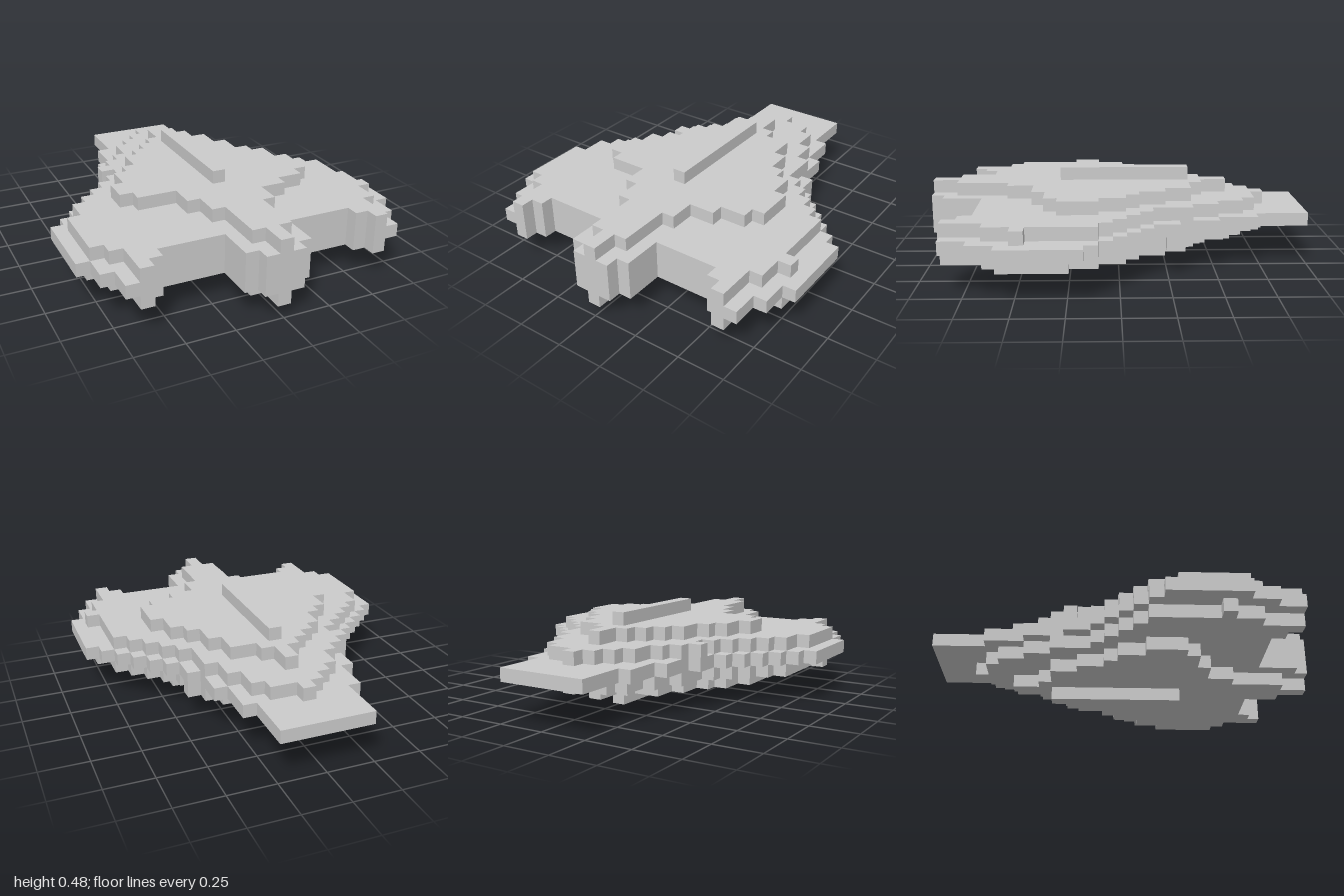
import * as THREE from 'three';

const V = 2 / 29; // edge of one block; the model is 25 x 7 x 29 blocks

const material = new THREE.MeshStandardMaterial({ color: 0xcccccc, flatShading: true });

// Expands [value, count] runs into one value per row.
const runs = (...list) => list.flatMap(([value, count]) => Array(count).fill(value));

// Solid slab, one block high: row i spans blocks -left[i]..right[i] in x.
function slab(name, level, startRow, left, right) {
  const z = (i) => -1 + (startRow + i) * V;
  const points = [];
  right.forEach((r, i) => {
    const x = (r + 0.5) * V;
    if (r !== right[i - 1]) points.push(new THREE.Vector2(x, -z(i)));
    if (r !== right[i + 1]) points.push(new THREE.Vector2(x, -z(i + 1)));
  });
  for (let i = left.length - 1; i >= 0; i--) {
    const x = -(left[i] + 0.5) * V;
    if (left[i] !== left[i + 1]) points.push(new THREE.Vector2(x, -z(i + 1)));
    if (left[i] !== left[i - 1]) points.push(new THREE.Vector2(x, -z(i)));
  }
  const geometry = new THREE.ExtrudeGeometry(new THREE.Shape(points), { depth: V, bevelEnabled: false });
  geometry.rotateX(-Math.PI / 2).translate(0, level * V, 0);
  const mesh = new THREE.Mesh(geometry, material);
  mesh.name = name;
  return mesh;
}

// Stepped wing tip on one side, from block "inner" to block "outer".
function wingTip(name, level, side, outer) {
  const inner = [8, 9]; // inner block of each of the two rows
  const near = inner.map((c) => -c);
  const far = [outer, outer];
  return side > 0 ? slab(name, level, 25, near, far) : slab(name, level, 25, far, near);
}

export function createModel() {
  const model = new THREE.Group();

  // Middle plate: the widest outline, with the square end at the back
  const plate = runs([3, 4], [4, 3], [5, 3], [6, 2], [7, 1], [8, 1], [9, 1], [10, 1], [11, 1], [12, 6], [11, 2]);
  model.add(slab('middlePlate', 3, 0, plate, plate));

  // Hull layers above and below the plate
  const hullLeft = runs([0, 1], [1, 1], [2, 1], [3, 2], [4, 1], [5, 1], [6, 1], [5, 1], [6, 1], [7, 1],
    [8, 1], [9, 1], [10, 2], [11, 5], [10, 1], [9, 1]);
  const hullRight = runs([0, 1], [2, 1], [3, 2], [4, 2], [5, 3], [6, 1], [7, 1],
    [8, 1], [9, 1], [10, 5], [11, 1], [10, 2], [9, 1]);

  // Raised deck, narrowing to a ridge over the nose
  const deckLeft = runs([0, 2], [1, 1], [2, 1], [3, 1], [4, 2], [5, 1], [6, 2], [7, 2], [6, 1], [3, 2],
    [2, 2], [1, 4], [0, 2]);
  const deckRight = runs([0, 2], [1, 1], [3, 2], [4, 2], [5, 1], [6, 2], [7, 3], [6, 1], [4, 1],
    [2, 2], [1, 4], [0, 2]);

  // The underside repeats the top with left and right swapped
  const fin = runs([0, 10]);
  model.add(
    slab('upperHull', 4, 3, hullLeft, hullRight),
    slab('lowerHull', 2, 3, hullRight, hullLeft),
    slab('upperDeck', 5, 6, deckLeft, deckRight),
    slab('lowerDeck', 1, 6, deckRight, deckLeft),
    slab('upperFin', 6, 9, fin, fin),
    slab('lowerFin', 0, 9, fin, fin),
  );

  // Nose and wing tips, three blocks thick
  const nose = runs([2, 3], [1, 1]);
  for (const level of [2, 3, 4]) {
    model.add(slab('nose', level, 25, nose, nose));
    for (const side of [-1, 1]) {
      model.add(wingTip(side > 0 ? 'leftWingTip' : 'rightWingTip', level, side, level === 3 ? 10 : 9));
    }
  }
  return model;
}
